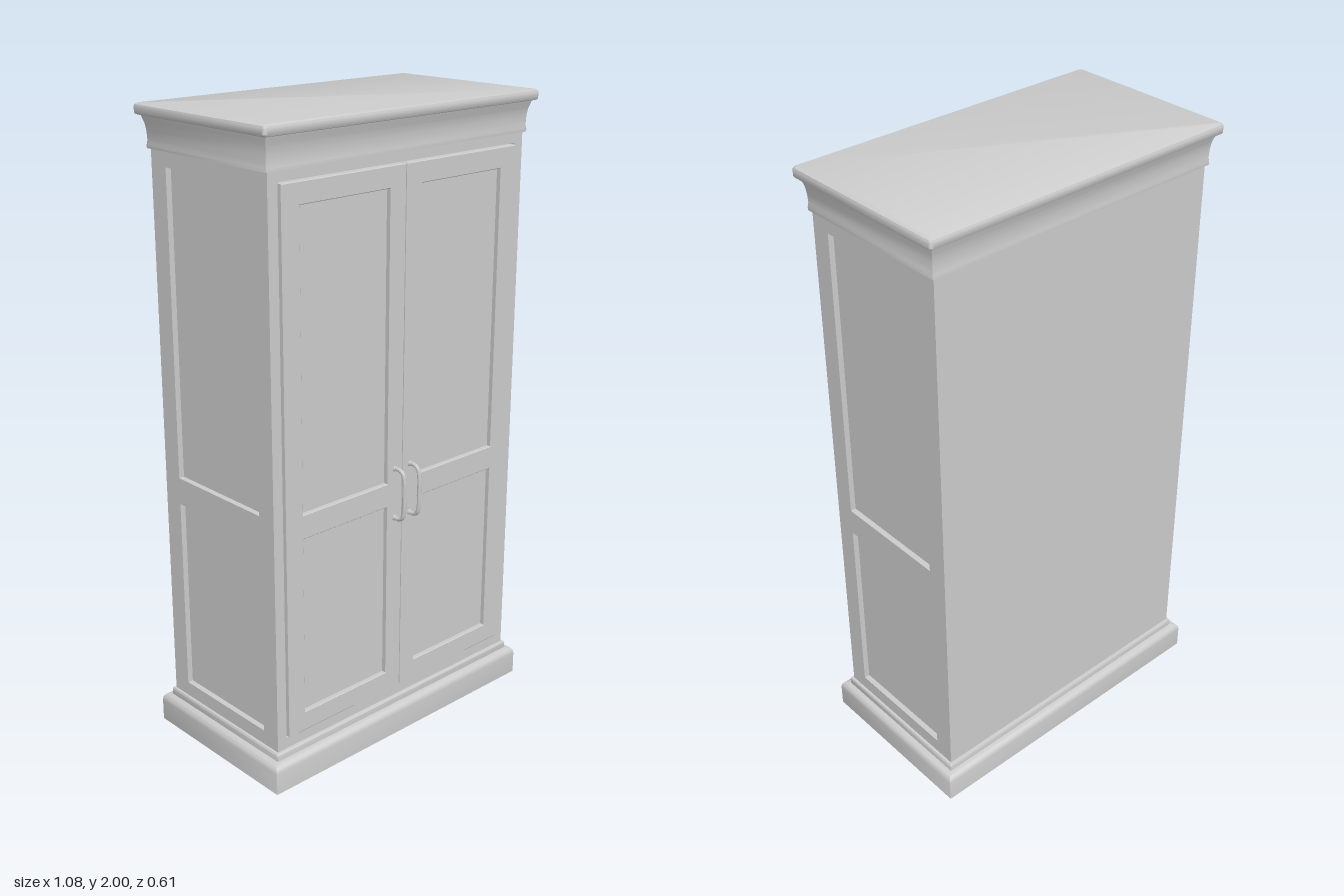
import * as THREE from 'three';
import { toCreasedNormals } from 'three/addons/utils/BufferGeometryUtils.js';

const material = new THREE.MeshStandardMaterial({ color: 0xcccccc });
const HALF_W = 0.505, HALF_D = 0.2575, MID_Z = -0.0125;
const FRONT = MID_Z + HALF_D, BACK = MID_Z - HALF_D;

function add(parent, name, geometry, x = 0, y = 0, z = 0) {
  const mesh = new THREE.Mesh(geometry, material);
  mesh.name = name;
  mesh.position.set(x, y, z);
  parent.add(mesh);
  return mesh;
}

// box given by its min and max corners
function block(parent, name, [x0, y0, z0], [x1, y1, z1]) {
  return add(parent, name, new THREE.BoxGeometry(x1 - x0, y1 - y0, z1 - z0),
    (x0 + x1) / 2, (y0 + y1) / 2, (z0 + z1) / 2);
}

// flat board with rectangular openings; rectangles are [x0, y0, x1, y1]
function frameGeometry(outer, openings, depth, bevel = 0) {
  const trace = (path, [x0, y0, x1, y1], d) => path.moveTo(x0 + d, y0 + d)
    .lineTo(x1 - d, y0 + d).lineTo(x1 - d, y1 - d).lineTo(x0 + d, y1 - d).closePath();
  const shape = trace(new THREE.Shape(), outer, bevel);
  for (const o of openings) shape.holes.push(trace(new THREE.Path(), o, -bevel));
  const geometry = new THREE.ExtrudeGeometry(shape, {
    depth: depth - 2 * bevel, bevelEnabled: bevel > 0,
    bevelSize: bevel, bevelThickness: bevel, bevelSegments: 1,
  });
  return geometry.translate(0, 0, bevel);
}

// moulding running round the carcass; profile points are [outward offset, height]
function mouldingGeometry(profile, radius) {
  const steps = 4, positions = [], index = [];
  for (const [offset, y] of profile) {
    const r = Math.max(radius + Math.min(offset, 0), 0.002);
    for (let c = 0; c < 4; c++) {
      const sx = c < 2 ? 1 : -1, sz = c === 0 || c === 3 ? 1 : -1;
      for (let s = 0; s <= steps; s++) {
        const a = Math.PI / 2 * (1 - c - s / steps);
        positions.push(sx * (HALF_W + offset - r) + r * Math.cos(a), y,
          MID_Z + sz * (HALF_D + offset - r) + r * Math.sin(a));
      }
    }
  }
  const n = 4 * (steps + 1), top = (profile.length - 1) * n;
  for (let k = 0; k < profile.length - 1; k++) {
    for (let i = 0; i < n; i++) {
      const a = k * n + i, b = k * n + (i + 1) % n;
      index.push(a, b, b + n, a, b + n, a + n);
    }
  }
  for (let i = 1; i < n - 1; i++) {
    index.push(0, i + 1, i, top, top + i, top + i + 1);
  }
  const geometry = new THREE.BufferGeometry();
  geometry.setAttribute('position', new THREE.Float32BufferAttribute(positions, 3));
  geometry.setIndex(index);
  return toCreasedNormals(geometry, 0.6);
}

// bow handle with two round feet
function makeHandle(name) {
  const handle = new THREE.Group();
  handle.name = name;
  const path = new THREE.CatmullRomCurve3([
    [0.916, 0], [0.916, 0.022], [0.907, 0.036], [0.885, 0.042], [0.835, 0.043],
    [0.785, 0.042], [0.763, 0.036], [0.754, 0.022], [0.754, 0],
  ].map(([y, z]) => new THREE.Vector3(0, y, z)));
  add(handle, 'handleBar', new THREE.TubeGeometry(path, 48, 0.0065, 10));
  for (const y of [0.754, 0.916]) {
    add(handle, 'handleFoot', new THREE.CylinderGeometry(0.008, 0.01, 0.008, 16)
      .rotateX(Math.PI / 2), 0, y, 0.003);
  }
  return handle;
}

export function createModel() {
  const model = new THREE.Group();
  model.name = 'wardrobe';

  // carcass
  const recess = 0.018;
  block(model, 'carcass', [-HALF_W + recess, 0.05, BACK], [HALF_W - recess, 1.95, FRONT - 0.02]);
  add(model, 'faceFrame', frameGeometry(
    [-HALF_W + recess, 0.05, HALF_W - recess, 1.95], [[-0.47, 0.155, 0.47, 1.842]], 0.02),
  0, 0, FRONT - 0.02);

  // panelled sides, drawn in (z, y) and turned outward
  for (const side of [1, -1]) {
    const span = (z0, y0, z1, y1) => side > 0 ? [-z1, y0, -z0, y1] : [z0, y0, z1, y1];
    const frame = add(model, side > 0 ? 'leftSideFrame' : 'rightSideFrame', frameGeometry(
      span(BACK, 0.05, FRONT, 1.95),
      [span(-0.203, 0.165, 0.18, 0.792), span(-0.203, 0.878, 0.18, 1.827)], recess),
    side * (HALF_W - recess));
    frame.rotation.y = side * Math.PI / 2;
  }

  // doors with sunk panels and handles
  for (const side of [1, -1]) {
    const door = new THREE.Group();
    door.name = side > 0 ? 'leftDoor' : 'rightDoor';
    const span = (x0, y0, x1, y1) => side > 0 ? [x0, y0, x1, y1] : [-x1, y0, -x0, y1];
    add(door, 'doorFrame', frameGeometry(
      span(0.0015, 0.159, 0.466, 1.838),
      [span(0.063, 0.222, 0.402, 0.797), span(0.063, 0.873, 0.402, 1.774)], 0.03, 0.002),
    0, 0, FRONT - 0.02);
    const [x0, y0, x1, y1] = span(0.05, 0.2, 0.415, 1.79);
    block(door, 'doorPanel', [x0, y0, FRONT - 0.019], [x1, y1, FRONT - 0.006]);
    const handle = makeHandle(side > 0 ? 'leftHandle' : 'rightHandle');
    handle.position.set(side * 0.032, 0, FRONT + 0.008);
    door.add(handle);
    model.add(door);
  }

  // stepped base
  add(model, 'plinth', mouldingGeometry([
    [0.034, 0], [0.034, 0.072], [0.032, 0.082], [0.026, 0.09], [0.018, 0.093],
    [0.01, 0.094], [0.01, 0.112], [0.007, 0.117], [0, 0.118],
  ], 0.003));

  // hollow cornice moulding and top board
  add(model, 'cornice', mouldingGeometry([
    [0, 1.872], [0.009, 1.873], [0.009, 1.882], [0.007, 1.895], [0.008, 1.92],
    [0.011, 1.942], [0.016, 1.958], [0.019, 1.972],
  ], 0.003));
  add(model, 'topBoard', mouldingGeometry([
    [0.028, 1.968], [0.032, 1.97], [0.034, 1.974], [0.034, 1.992], [0.032, 1.997], [0.027, 2],
  ], 0.012));

  return model;
}
